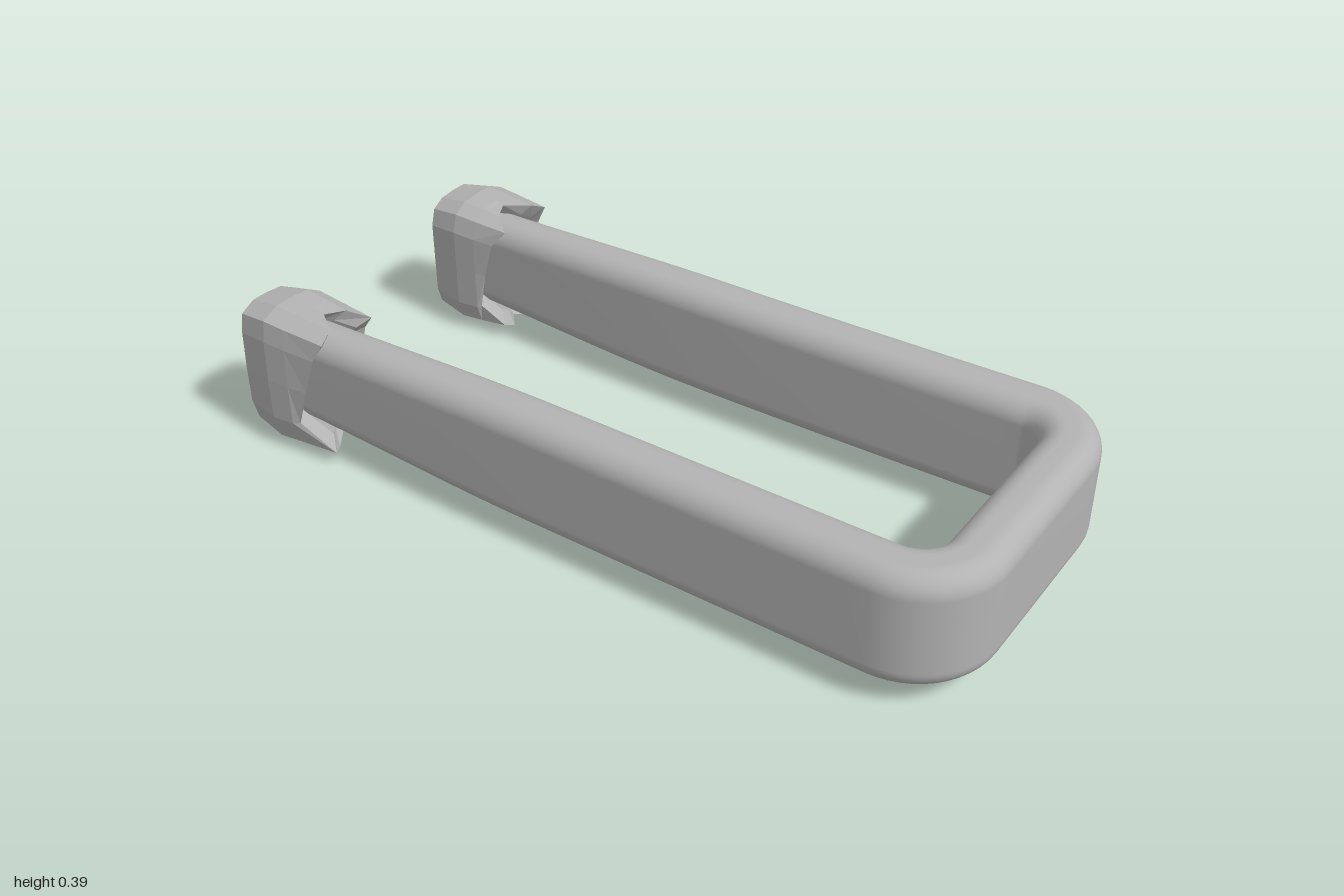
import * as THREE from 'three';

// Skin a series of closed rings of [x, y, z] points
function loft(rings, { flip = false, flat = false } = {}) {
  const n = rings[0].length, index = [];
  for (let i = 0; i < rings.length - 1; i++) {
    for (let j = 0; j < n; j++) {
      const k = (j + 1) % n;
      const a = i * n + j, b = i * n + k, c = a + n, d = b + n;
      if (flip) index.push(a, b, c, b, d, c);
      else index.push(a, c, b, b, c, d);
    }
  }
  let geo = new THREE.BufferGeometry();
  geo.setAttribute('position', new THREE.Float32BufferAttribute(rings.flat(2), 3));
  geo.setIndex(index);
  if (flat) geo = geo.toNonIndexed();
  geo.computeVertexNormals();
  return geo;
}

// Rounded rectangle section, as [outward, y] pairs
function section(halfW, low, high, r = 0.055) {
  const pts = [];
  const corners = [[1, high - r], [-1, high - r], [-1, low + r], [1, low + r]];
  corners.forEach(([s, y], q) => {
    for (let i = 0; i <= 8; i++) {
      const a = (q + i / 8) * Math.PI / 2;
      pts.push([s * (halfW - r) + r * Math.cos(a), y + r * Math.sin(a)]);
    }
  });
  return pts;
}

// U-shaped path: front leg, bend, crossbar, bend, rear leg
function barRings() {
  const rings = [];
  const add = (x, z, nx, nz) => {
    const t = THREE.MathUtils.smoothstep(x, -1, -0.1);
    const pts = section(0.064 + 0.007 * t, 0.073 - 0.023 * t, 0.332 + 0.02 * t);
    rings.push(pts.map(([w, y]) => [x + nx * w, y, z + nz * w]));
  };
  const bendX = 0.79, r = 0.139, steps = 32;
  for (let i = 0; i < steps; i++) add(-1 + (1 + bendX) * i / steps, 0.35, 0, 1);
  for (const [cz, from] of [[0.211, Math.PI / 2], [-0.221, 0]]) {
    for (let i = 0; i <= 12; i++) {
      const a = from - i / 12 * Math.PI / 2, c = Math.cos(a), s = Math.sin(a);
      add(bendX + r * c, cz + r * s, c, s);
    }
  }
  for (let i = 1; i <= steps; i++) {
    const u = i / steps;
    add(bendX - (1 + bendX) * u, -0.36 + 0.015 * Math.sin(Math.PI * u), 0, -1);
  }
  return rings;
}

// Collar outline: outward offset, height, and where its ragged edge ends in x
const COLLAR = [
  [0.108, 0.31, -0.73], [0.098, 0.365, -0.70], [0.05, 0.387, -0.71], [0, 0.387, -0.775],
  [-0.055, 0.382, -0.75], [-0.095, 0.36, -0.70], [-0.11, 0.31, -0.74], [-0.11, 0.2, -0.77],
  [-0.11, 0.09, -0.79], [-0.095, 0.04, -0.72], [-0.05, 0.02, -0.72], [0, 0.02, -0.76],
  [0.05, 0.008, -0.73], [0.095, 0.025, -0.70], [0.112, 0.09, -0.80], [0.112, 0.2, -0.765],
];

function collarGeometry(cz, side, dx, dy) {
  const ring = (sw, sh, xOf) => COLLAR.map(([w, y, end]) =>
    [xOf(end), 0.205 + (y - 0.205) * sh + dy, cz + side * w * sw]);
  const rings = [
    ring(0.58, 0.72, () => -0.975),
    ring(0.88, 0.91, () => -0.975),
    ring(1, 1, () => -0.885),
    ring(0.97, 0.97, () => -0.82),
    ring(0.9, 0.93, (end) => end + dx),
    ring(0.62, 0.76, (end) => end + dx - 0.03),
  ];
  return loft(rings, { flip: side < 0, flat: true });
}

export function createModel() {
  const group = new THREE.Group();
  const metal = new THREE.MeshStandardMaterial({ color: 0xb3b3b3, side: THREE.DoubleSide });
  metal.name = 'grey metal';
  const add = (name, geo) => {
    const mesh = new THREE.Mesh(geo, metal);
    mesh.name = name;
    group.add(mesh);
  };

  // Hollow bar, open at both ends
  add('bentBar', loft(barRings()));

  // Ragged faceted collars around the open ends
  add('frontCollar', collarGeometry(0.35, 1, 0, 0));
  add('rearCollar', collarGeometry(-0.362, -1, -0.02, -0.008));
  return group;
}
